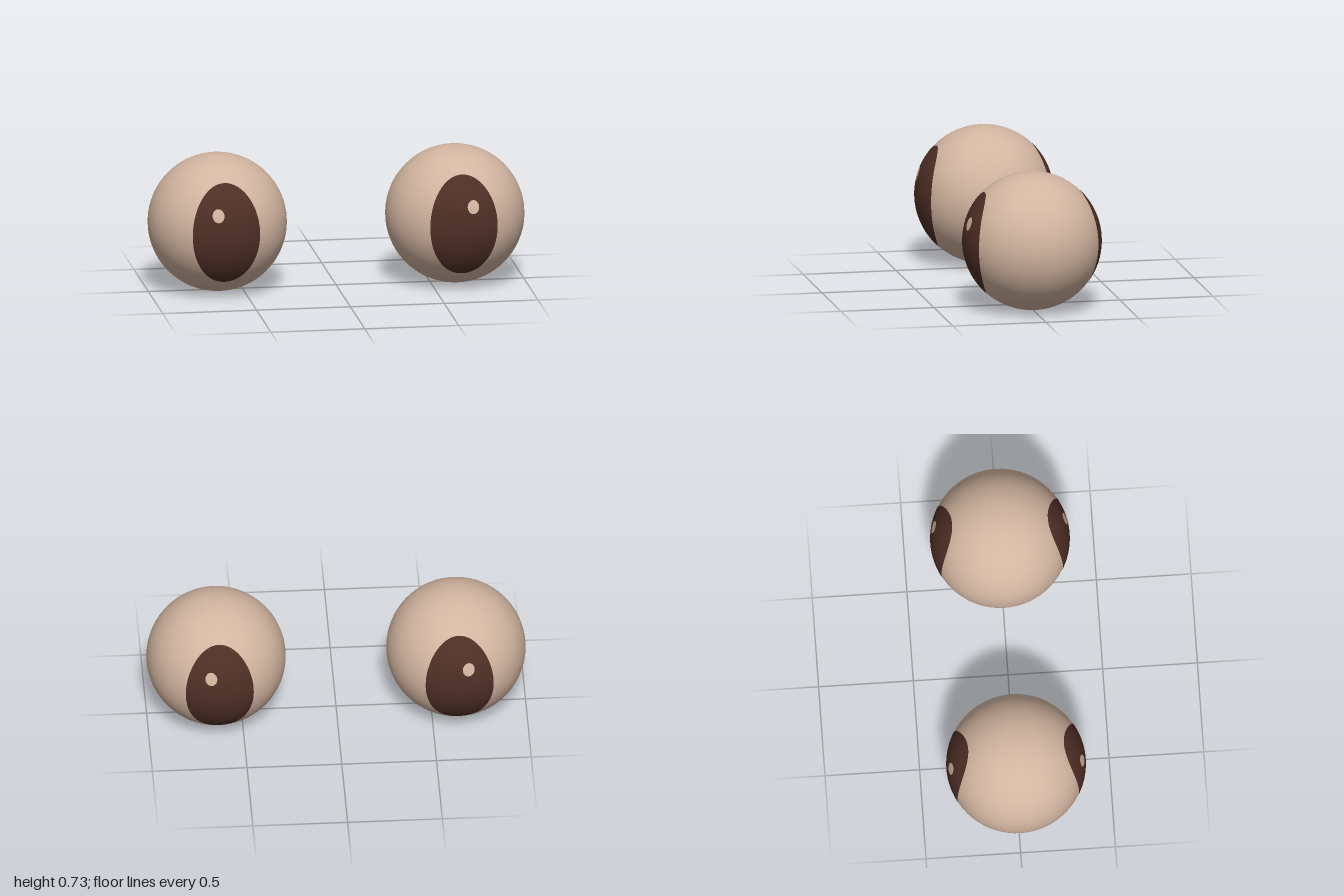
import * as THREE from 'three';

const R = 0.367;      // ball radius
const CX = 0.633;     // ball offset from the middle

const tan = new THREE.MeshStandardMaterial({ color: 0xd2b5a0 });
tan.name = 'tan';
const darkBrown = new THREE.MeshStandardMaterial({ color: 0x4e2f25 });
darkBrown.name = 'darkBrown';

// Thin elliptical cap hugging the +z side of a sphere; (cx, cy) and (rx, ry) are measured face-on
function capGeometry(cx, cy, rx, ry, radius, rings) {
  const geo = new THREE.RingGeometry(0, 1, 64, rings);
  const pos = geo.attributes.position;
  const normal = geo.attributes.normal;
  const k = radius / R;
  for (let i = 0; i < pos.count; i++) {
    const x = (cx + pos.getX(i) * rx) * k;
    const y = (cy + pos.getY(i) * ry) * k;
    const z = Math.sqrt(radius * radius - x * x - y * y);
    pos.setXYZ(i, x, y, z);
    normal.setXYZ(i, x / radius, y / radius, z / radius);
  }
  return geo;
}

function addMesh(parent, name, geometry, material) {
  const mesh = new THREE.Mesh(geometry, material);
  mesh.name = name;
  parent.add(mesh);
}

// Dark oval with a small light spot
function createPupil(name, glintX) {
  const group = new THREE.Group();
  group.name = name;
  addMesh(group, 'iris', capGeometry(0, 0, 0.179, 0.267, R + 0.001, 16), darkBrown);
  addMesh(group, 'glint', capGeometry(glintX, 0.111, 0.031, 0.035, R + 0.002, 3), tan);
  return group;
}

function createEye(name, side) {
  const eye = new THREE.Group();
  eye.name = name;
  addMesh(eye, 'eyeball', new THREE.SphereGeometry(R, 64, 48), tan);

  // Matching ovals front and back, glints on the outer side
  eye.add(createPupil('frontPupil', side * 0.046));
  const back = createPupil('backPupil', -side * 0.046);
  back.rotation.y = Math.PI;
  eye.add(back);

  eye.position.set(side * CX, R, 0);
  return eye;
}

export function createModel() {
  const model = new THREE.Group();
  model.name = 'eyes';
  model.add(createEye('leftEye', 1), createEye('rightEye', -1));
  return model;
}
